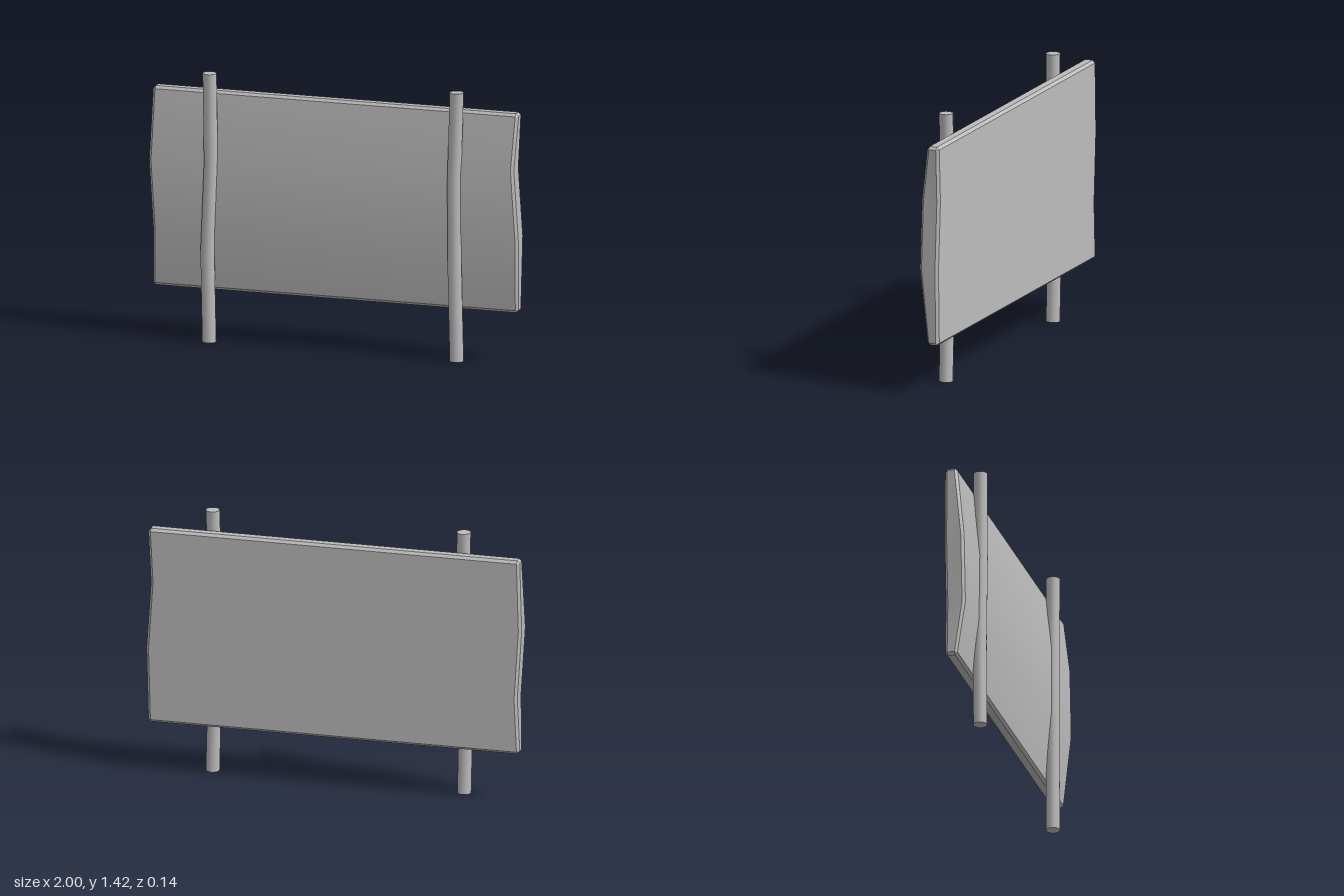
import * as THREE from 'three';
import { toCreasedNormals } from 'three/addons/utils/BufferGeometryUtils.js';

const BOTTOM = 0.268, TOP = 1.325, BACK = -0.068, BEVEL = 0.014;

// Uneven board ends: x and y at four rows from bottom to top
const leftEnd = { x: [-0.99, -0.977, -1, -0.99], y: [BOTTOM, 0.57, 0.94, TOP], inward: 1 };
const rightEnd = { x: [0.987, 0.997, 0.973, 0.987], y: [BOTTOM, 0.67, 1.03, TOP], inward: -1 };

// One cross-section of the board: up the back, over the top, down the bulging front
function boardSection(end, isCap) {
  const [, y1, y2] = end.y, b = BEVEL;
  const points = [
    [0, BOTTOM + b, BACK], [1, y1, BACK], [2, y2, BACK], [3, TOP - b, BACK],
    [3, TOP, BACK + b], [3, TOP, -0.014],
    [3, TOP - b, -0.001], [2, y2, 0.036], [1, y1, 0.036], [0, BOTTOM + b, -0.003],
    [0, BOTTOM, -0.016], [0, BOTTOM, BACK + b],
  ];
  return points.map(([row, y, z], i) => {
    if (!isCap) return [end.x[row] + end.inward * b, y, z];
    const capZ = i < 5 || i === 11 ? BACK + b : (row === 0 || row === 3 ? -0.015 : 0.036 - b);
    return [end.x[row], THREE.MathUtils.clamp(y, BOTTOM + b, TOP - b), capZ];
  });
}

function boardGeometry() {
  const sections = [
    boardSection(leftEnd, true), boardSection(leftEnd, false),
    boardSection(rightEnd, false), boardSection(rightEnd, true),
  ];
  const n = sections[0].length, index = [];
  const quad = (a, b, c, d) => index.push(a, b, c, a, c, d);
  // Skin between neighbouring sections
  for (let s = 0; s < 3; s++) {
    for (let i = 0; i < n; i++) {
      const j = (i + 1) % n;
      quad(s * n + i, s * n + j, (s + 1) * n + j, (s + 1) * n + i);
    }
  }
  // End faces, in three strips joining back to front
  for (let r = 0; r < 3; r++) {
    quad(r, 9 - r, 8 - r, r + 1);
    const o = 3 * n;
    quad(o + r, o + r + 1, o + 8 - r, o + 9 - r);
  }
  const g = new THREE.BufferGeometry();
  g.setAttribute('position', new THREE.Float32BufferAttribute(sections.flat(2), 3));
  g.setIndex(index);
  return toCreasedNormals(g, 0.5);
}

// Post that wanders slightly in x at four evenly spaced heights
function postGeometry(centres) {
  const height = 1.425;
  const g = new THREE.CylinderGeometry(0.037, 0.037, height, 12, 3);
  g.translate(0, height / 2, 0);
  const p = g.attributes.position;
  for (let i = 0; i < p.count; i++) {
    const row = Math.round(p.getY(i) / height * 3);
    p.setX(i, p.getX(i) + centres[row]);
  }
  return toCreasedNormals(g, 0.7);
}

export function createModel() {
  const model = new THREE.Group();
  model.name = 'signboard';
  const grey = new THREE.MeshStandardMaterial({ color: 0xbcbcbc });
  grey.name = 'plain grey';

  const add = (name, geometry, z = 0) => {
    const mesh = new THREE.Mesh(geometry, grey);
    mesh.name = name;
    mesh.position.z = z;
    model.add(mesh);
  };

  add('board', boardGeometry());
  add('rightPost', postGeometry([-0.672, -0.682, -0.663, -0.67]), 0.031);
  add('leftPost', postGeometry([0.667, 0.656, 0.653, 0.667]), 0.031);
  return model;
}
